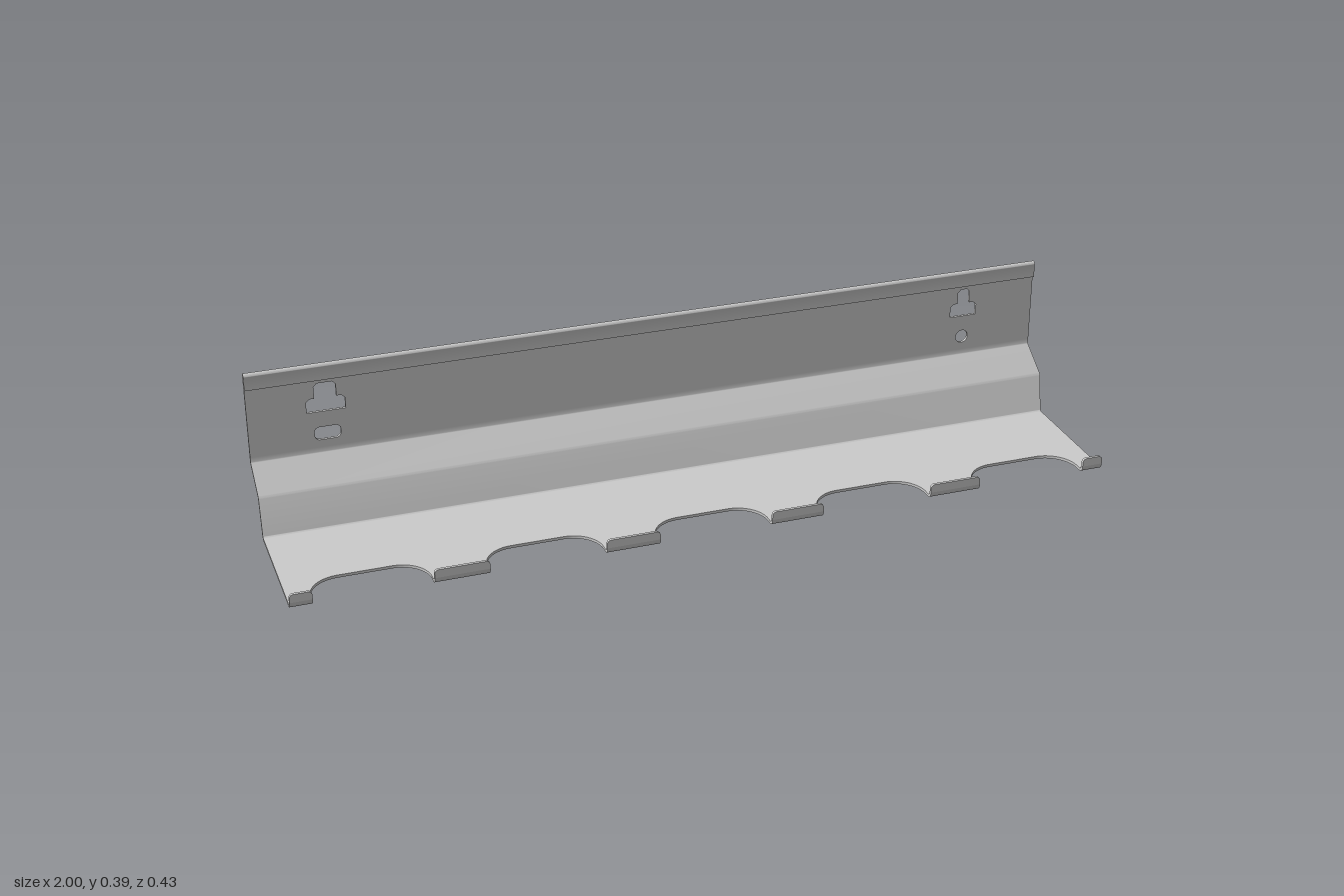
import * as THREE from 'three';
import { toCreasedNormals } from 'three/addons/utils/BufferGeometryUtils.js';

const T = 0.007; // sheet thickness
const V = (x, y) => new THREE.Vector2(x, y);

// Outline of a bent sheet from a [z, y, bendRadius] centre line
function sheetShape(path) {
  const pts = path.map(p => V(p[0], p[1]));
  const a = [], b = [];
  const add = (p, n) => {
    a.push(p.clone().addScaledVector(n, T / 2));
    b.unshift(p.clone().addScaledVector(n, -T / 2));
  };
  const dir = i => pts[i + 1].clone().sub(pts[i]).normalize();
  const perp = d => V(-d.y, d.x);
  const last = pts.length - 1;
  add(pts[0], perp(dir(0)));
  for (let i = 1; i < last; i++) {
    const d1 = dir(i - 1), d2 = dir(i), r = path[i][2];
    const turn = Math.atan2(d1.cross(d2), d1.dot(d2)), s = Math.sign(turn);
    const n = perp(d1);
    const centre = pts[i].clone()
      .addScaledVector(d1, -r * Math.tan(Math.abs(turn) / 2))
      .addScaledVector(n, s * r);
    for (let k = 0; k <= 8; k++) {
      const m = n.clone().rotateAround(V(0, 0), turn * k / 8);
      add(centre.clone().addScaledVector(m, -s * r), m);
    }
  }
  add(pts[last], perp(dir(last - 1)));
  return new THREE.Shape([...a, ...b]);
}

const extrude = (shape, depth) =>
  new THREE.ExtrudeGeometry(shape, { depth, bevelEnabled: false, curveSegments: 10 });

// Bent sheet running along x from x0 to x1
const bentSheet = (path, x0, x1) =>
  extrude(sheetShape(path), x1 - x0).rotateY(-Math.PI / 2).translate(x1, 0, 0);

// Rectangular slot with rounded corners
function slot(x, y, w, h, r) {
  const p = new THREE.Path();
  [[x + w - r, y + r, -1], [x + w - r, y + h - r, 0], [x + r, y + h - r, 1], [x + r, y + r, 2]]
    .forEach(([cx, cy, q]) => p.absarc(cx, cy, r, q * Math.PI / 2, (q + 1) * Math.PI / 2));
  p.closePath();
  return p;
}

// Wide opening with a narrower neck on top, for hanging on a screw
function keyhole(x, wide, neck) {
  const c = 0.008, y0 = 0.262, y1 = 0.297, y2 = 0.335;
  const half = [[wide, y0], [wide, y1 - c], [wide - c, y1], [neck, y1], [neck, y2 - c], [neck - c, y2]];
  return new THREE.Path([
    ...half.map(([w, y]) => V(x + w, y)),
    ...half.reverse().map(([w, y]) => V(x - w, y)),
  ]);
}

export function createModel() {
  const group = new THREE.Group();
  const material = new THREE.MeshStandardMaterial({ color: 0xcccccc });
  const add = (name, geometry) => {
    const mesh = new THREE.Mesh(toCreasedNormals(geometry, 0.5), material);
    mesh.name = name;
    group.add(mesh);
  };

  // Shelf floor with five rounded notches along its front edge
  const front = 0.197, rear = -0.1, notchEnd = 0.11, r = 0.075, half = 0.138;
  const notches = [-0.81, -0.405, 0, 0.405, 0.81];
  const floor = new THREE.Shape();
  floor.moveTo(-1, rear);
  floor.lineTo(-1, front);
  for (const x of notches) {
    floor.lineTo(x - half, front);
    floor.absarc(x - half + r, notchEnd + r, r, Math.PI, Math.PI * 1.5);
    floor.absarc(x + half - r, notchEnd + r, r, Math.PI * 1.5, Math.PI * 2);
    floor.lineTo(x + half, front);
  }
  floor.lineTo(1, front);
  floor.lineTo(1, rear);
  floor.closePath();
  add('shelfFloor', extrude(floor, T).rotateX(Math.PI / 2).translate(0, T, 0));

  // Upturned tabs between the notches
  const edges = [-1, ...notches.flatMap(x => [x - half, x + half]), 1];
  for (let i = 0; i < edges.length; i += 2) {
    const x0 = edges[i], x1 = edges[i + 1], y = 0.0175, top = 0.038, c = 0.01;
    add('tabBend', bentSheet([[front, T / 2], [0.2105, T / 2, 0.0134], [0.2105, y]], x0, x1));
    const lip = new THREE.Shape();
    lip.moveTo(x0, y);
    lip.lineTo(x1, y);
    lip.absarc(x1 - c, top - c, c, 0, Math.PI / 2);
    lip.absarc(x0 + c, top - c, c, Math.PI / 2, Math.PI);
    lip.closePath();
    add('tabLip', extrude(lip, T).translate(0, 0, 0.207));
  }

  // Riser, sloped step and bend into the wall plate
  add('steppedRiser', bentSheet([
    [rear, T / 2], [-0.117, T / 2, 0.01], [-0.134, 0.102, 0.006],
    [-0.2108, 0.155, 0.006], [-0.2108, 0.17],
  ], -1, 1));

  // Wall plate with mounting holes
  const wall = new THREE.Shape([V(-1, 0.17), V(1, 0.17), V(1, 0.37), V(-1, 0.37)]);
  wall.holes.push(
    keyhole(-0.815, 0.046, 0.026), slot(-0.846, 0.189, 0.062, 0.033, 0.012),
    keyhole(0.81, 0.035, 0.016), slot(0.794, 0.189, 0.032, 0.033, 0.0155),
  );
  add('wallPlate', extrude(wall, T).translate(0, 0, -0.2143));

  // Folded hem along the top edge
  add('topHem', bentSheet([
    [-0.2108, 0.37], [-0.2108, 0.3825, 0.0036], [-0.2036, 0.3825, 0.0036], [-0.2036, 0.345],
  ], -1, 1));

  return group;
}
